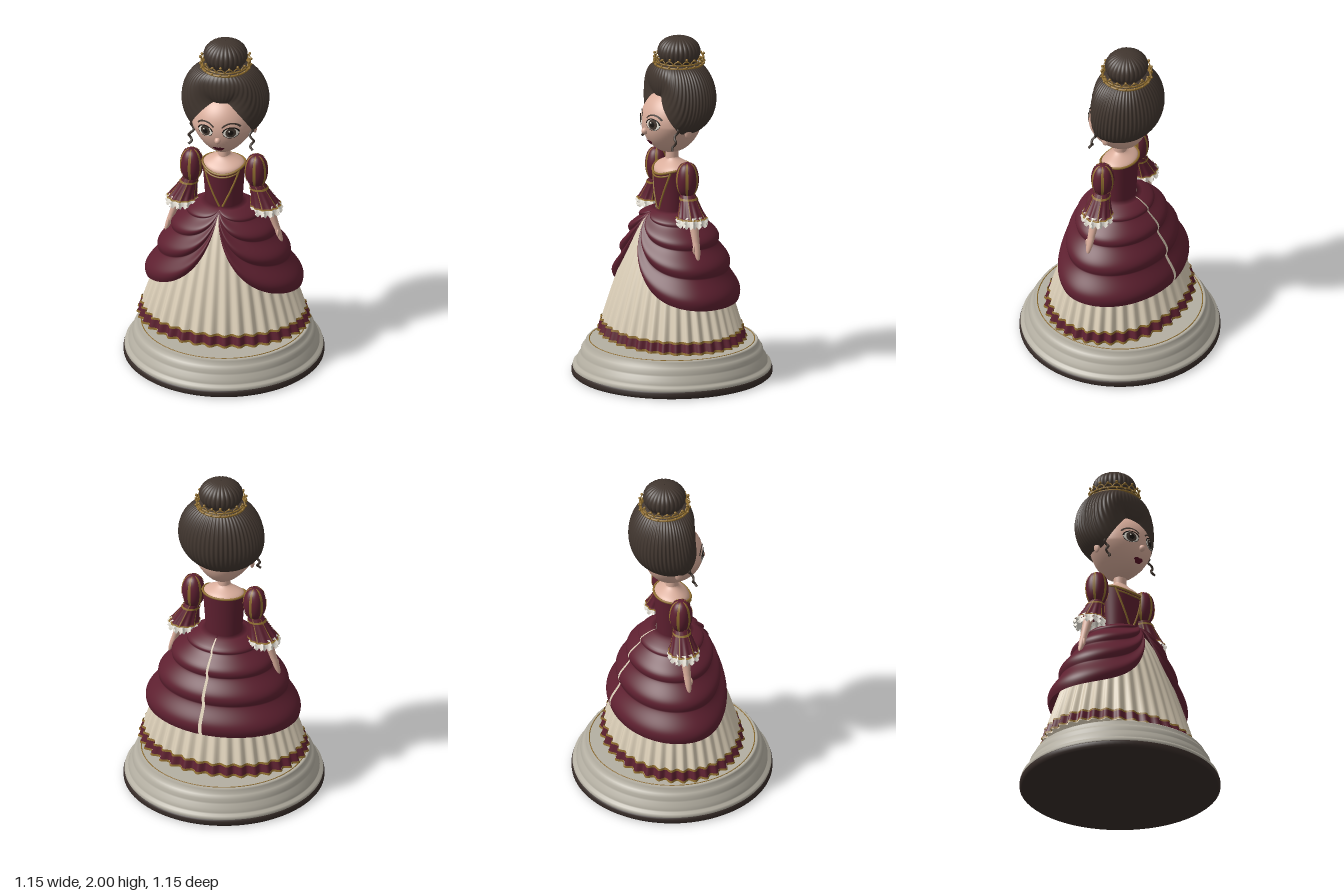
import * as THREE from 'three';
import { ParametricGeometry } from 'three/addons/geometries/ParametricGeometry.js';

const { sin, cos, PI, max, min, abs, sqrt, pow } = Math;
const lerp = THREE.MathUtils.lerp, smooth = THREE.MathUtils.smoothstep;

const paint = (name, color) => {
  const m = new THREE.MeshStandardMaterial({ color, side: THREE.DoubleSide });
  m.name = name;
  return m;
};

export function createModel() {
  const root = new THREE.Group();
  root.name = 'gownedFigurine';
  const wine = paint('wine red', 0x5e2030), cream = paint('cream', 0xdccfb8), stone = paint('stone', 0xb4afa2),
    gold = paint('gold', 0x8f6d2e), skin = paint('skin', 0xd9ad9b), lace = paint('lace white', 0xe6e1d6),
    hair = paint('hair brown', 0x41362f), wood = paint('dark wood', 0x382d29), lip = paint('lip red', 0x5a1226),
    black = paint('black', 0x17120f);

  const add = (name, geo, mat, x = 0, y = 0, z = 0) => {
    const m = new THREE.Mesh(geo, mat);
    m.name = name;
    m.position.set(x, y, z);
    root.add(m);
    return m;
  };
  // Surface swept round the y axis: fn(angle from front, height 0..1) gives a point
  const sweep = (name, mat, fn, nu, nv, a0 = -PI, a1 = PI, v0 = 0, v1 = 1) =>
    add(name, new ParametricGeometry((u, v, p) => p.set(...fn(lerp(a0, a1, u), lerp(v0, v1, v))), nu, nv), mat);
  const tube = (name, mat, pts, r, closed = false, n = 48) =>
    add(name, new THREE.TubeGeometry(new THREE.CatmullRomCurve3(pts.map(p => new THREE.Vector3(...p)), closed), n, r, 8, closed), mat);
  const ball = (name, mat, x, y, z, rx, ry = rx, rz = rx) => {
    const m = add(name, new THREE.SphereGeometry(1, 20, 14), mat, x, y, z);
    m.scale.set(rx, ry, rz);
    return m;
  };
  const turned = (name, mat, pts) =>
    add(name, new THREE.LatheGeometry(pts.map(p => new THREE.Vector2(...p)), 96), mat);

  // Stepped plinth
  turned('plinthFoot', wood, [[0.001, 0], [0.565, 0], [0.577, 0.01], [0.577, 0.034], [0.57, 0.042]]);
  turned('plinth', stone, [[0.57, 0.042], [0.572, 0.05], [0.568, 0.064], [0.55, 0.068], [0.55, 0.078], [0.542, 0.1], [0.528, 0.122],
    [0.524, 0.13], [0.522, 0.15], [0.51, 0.168], [0.497, 0.174], [0.495, 0.196], [0.488, 0.204], [0.001, 0.204]]);
  add('plinthRing', new THREE.TorusGeometry(0.475, 0.003, 6, 96).rotateX(PI / 2), gold, 0, 0.204, 0);
  for (const s of [-1, 1]) ball('shoe', wood, s * 0.07, 0.235, 0.04, 0.045, 0.03, 0.09);

  // Pleated underskirt with banded hem
  const skirt = (off, y0, y1) => (a, v) => {
    const y = lerp(y0, y1, v), f = max(0, (0.98 - y) / 0.745);
    const wave = (0.003 + 0.011 * f * f) * cos(36 * a) + off;
    return [(0.1 + 0.385 * pow(f, 0.55) + wave) * sin(a), y, (0.09 + 0.3 * pow(f, 0.65) + wave) * cos(a)];
  };
  sweep('underskirt', cream, skirt(0, 0.235, 0.975), 288, 24);
  sweep('hemBand', wine, skirt(0.004, 0.245, 0.3), 288, 2);
  sweep('hemTrimLow', gold, skirt(0.008, 0.235, 0.248), 288, 1);
  sweep('hemTrimHigh', gold, skirt(0.008, 0.295, 0.308), 288, 1);

  // Draped overskirt: two halves, tiers gathered to the front of the waist
  const drape = (a, v) => {
    const t = 1 - v, q = abs(a), yb = 0.475 + 0.5 * Math.exp(-q / 0.34);
    const y = 0.99 - t * (0.99 - yb), f = max(1e-4, (0.99 - y) / 0.51);
    const b = 4 * pow(max(0, t), 0.7) % 1;
    const puff = (0.026 * sin(PI * pow(b, 1.5)) - 0.006) * smooth(0.99 - yb, 0.03, 0.4) * min(1, t * 8);
    const rz = cos(a) > 0 ? 0.09 + 0.23 * pow(f, 0.4) : 0.09 + 0.275 * sqrt(f);
    return [(0.1 + 0.36 * pow(f, 0.55) + puff) * sin(a), y, (rz + puff) * cos(a)];
  };
  sweep('overskirtLeft', wine, drape, 90, 64, 0.001, PI - 0.024);
  sweep('overskirtRight', wine, drape, 90, 64, -PI + 0.024, -0.001);

  // Bodice, neckline and shoulders
  const neckline = a => cos(a) > 0 ? 1.242 - 0.036 * cos(a) ** 2 : 1.242;
  const bodice = off => (a, v) => {
    const rz = 0.085 + (cos(a) > 0 ? 0.022 : 0.018) * v;
    return [(0.104 + 0.021 * v + off) * sin(a), lerp(0.95, neckline(a), v), (rz + off) * cos(a)];
  };
  sweep('bodice', wine, bodice(0), 64, 16);
  tube('necklineTrim', gold, Array.from({ length: 24 }, (_, i) => bodice(0)(i * PI / 12, 0.99)), 0.007, true, 96);
  for (const s of [-1, 1])
    tube('bodiceTrim', gold, [0, 1, 2, 3, 4].map(i => bodice(0.001)(s * lerp(0.95, 0.08, i / 4), lerp(0.97, 0.14, i / 4))), 0.006);
  tube('bodiceEdge', gold, [-2, -1, 0, 1, 2].map(i => bodice(0.001)(i * 0.45, 0.92)), 0.005);
  sweep('shoulders', skin, (a, v) => {
    const k = 1 - smooth(v, 0.2, 0.95);
    return [(0.036 + 0.084 * k) * sin(a), lerp(neckline(a) - 0.02, 1.3, v), (0.034 + 0.066 * k) * cos(a)];
  }, 48, 14);
  add('neck', new THREE.CylinderGeometry(0.036, 0.037, 0.12, 32), skin, 0, 1.32, 0);

  // Arms: puffed sleeve, flared cuff, lace frills, forearm and hand
  for (const s of [-1, 1]) {
    const puff = off => (a, v) => {
      const r = sin(PI * v) ** 0.75 * (1 + 0.05 * abs(sin(3 * a))) + off;
      return [s * 0.19 + 0.064 * r * sin(a), 1.2 - 0.1 * cos(PI * v), 0.064 * r * cos(a)];
    };
    sweep('puffSleeve', wine, puff(0), 72, 20, -PI, PI, 0.002, 0.998);
    const cuff = off => (a, v) => {
      const r = lerp(0.086, 0.043, pow(v, 0.8)) + off + 0.004 * (1 - v) * cos(12 * a);
      return [s * lerp(0.245, 0.195, v) + r * sin(a), lerp(0.985, 1.115, v), r * cos(a)];
    };
    sweep('sleeveCuff', wine, cuff(0), 72, 8);
    sweep('cuffBand', gold, cuff(0.004), 72, 1, -PI, PI, 0.78, 0.87);
    sweep('cuffHem', gold, cuff(0.003), 72, 1, -PI, PI, 0, 0.06);
    for (let k = 0; k < 6; k++) {
      const a = k * PI / 3;
      sweep('puffStripe', gold, puff(0.05), 2, 20, a - 0.13, a + 0.13, 0.04, 0.96);
      sweep('cuffStripe', gold, cuff(0.003), 2, 6, a - 0.04, a + 0.04);
    }
    for (const [y, r] of [[0.968, 0.088], [0.943, 0.084]])
      sweep('laceFrill', lace, (a, v) => {
        const q = lerp(r, 0.068, v) + 0.009 * (1 - v) * cos(11 * a);
        return [s * 0.25 + q * sin(a), y + 0.034 * v + 0.007 * (1 - v) * cos(22 * a), q * cos(a)];
      }, 132, 5);
    sweep('forearmAndHand', skin, (a, v) => {
      const t = 1 - v, r = t < 0.62 ? lerp(0.034, 0.021, t / 0.62) : 0.021 * sqrt(max(0, 1 - ((t - 0.62) / 0.38) ** 2)) + 0.0005;
      return [s * lerp(0.25, 0.342, t) + r * 0.9 * sin(a), lerp(1.02, 0.75, t), 0.008 * t + r * cos(a)];
    }, 24, 24);
    ball('thumb', skin, s * 0.322, 0.815, 0.025, 0.008, 0.024, 0.009);
  }

  // Head: an ellipsoid tapering to the chin
  const taper = y => 1 - 0.3 * THREE.MathUtils.clamp((1.5 - y) / 0.18, 0, 1);
  const head = (a, y) => {
    const r = sqrt(max(0, 1 - ((y - 1.51) / 0.19) ** 2));
    return [0.186 * taper(y) * r * sin(a), y, (cos(a) > 0 ? 0.178 : 0.165) * r * cos(a)];
  };
  sweep('head', skin, (a, v) => head(a, 1.51 - 0.19 * cos(PI * v)), 64, 40, -PI, PI, 0.003, 0.997);
  const faceZ = (x, y) => 0.178 * sqrt(max(0, 1 - (x / (0.186 * taper(y))) ** 2 - ((y - 1.51) / 0.19) ** 2));
  // Thin painted patch laid over the face
  const patch = (name, mat, geo, cx, cy, off) => {
    const p = geo.attributes.position;
    for (let i = 0; i < p.count; i++) {
      const x = cx + p.getX(i), y = cy + p.getY(i);
      p.setXYZ(i, x, y, faceZ(x, y) + off);
    }
    geo.computeVertexNormals();
    add(name, geo, mat);
  };
  const oval = (rx, ry) => new THREE.RingGeometry(0.01, 1, 28, 4).scale(rx, ry, 1);
  const arc = (r0, r1, a0, a1, sy) => new THREE.RingGeometry(r0, r1, 20, 2, a0, a1 - a0).scale(1, sy, 1);
  for (const s of [-1, 1]) {
    const x = s * 0.075;
    patch('eyeWhite', lace, oval(0.044, 0.032), x, 1.518, 0.002);
    patch('iris', hair, oval(0.029, 0.03), x, 1.519, 0.004);
    patch('pupil', black, oval(0.015, 0.016), x, 1.519, 0.006);
    patch('eyeGlint', lace, oval(0.005, 0.005), x - 0.008, 1.53, 0.008);
    patch('upperLash', black, arc(0.041, 0.049, 0.1, PI - 0.1, 0.75), x, 1.518, 0.007);
    patch('lowerLash', black, arc(0.043, 0.046, PI + 0.2, 2 * PI - 0.2, 0.74), x, 1.518, 0.005);
    patch('eyebrow', hair, arc(0.054, 0.064, 0.55, PI - 0.55, 0.88), x, 1.522, 0.004);
    patch('upperLip', lip, oval(0.02, 0.009), s * 0.014, 1.402, 0.006);
    ball('ear', skin, s * 0.18, 1.475, -0.01, 0.012, 0.035, 0.022);
    tube('looseCurl', hair, Array.from({ length: 9 }, (_, i) => [s * (0.17 + 0.012 * sin(i * 1.6) + 0.002 * i), 1.51 - 0.016 * i,
      0.05 + 0.005 * i + 0.006 * cos(i * 1.6)]), 0.007);
  }
  patch('lowerLip', lip, oval(0.024, 0.011), 0, 1.392, 0.006);
  ball('nose', skin, 0, 1.465, 0.175, 0.018, 0.02, 0.022);

  // Swept-up hair: each strand line bulges from hairline to topknot
  sweep('sweptHair', hair, (a, v) => {
    const yb = lerp(1.67, 1.465, smooth(abs(a), 0.38, 1.5)), c = cos(a), front = c > 0;
    const low = head(a, yb), t = 1 - v;
    const w = [v ** 3, 3 * v * v * t, 3 * v * t * t, t ** 3];
    const xs = [0.1 * sin(a), 0.24 * sin(a), 0.32 * sin(a), low[0] * 1.015];
    const ys = [1.85, 1.845, yb + lerp(0.12, 0.085, max(0, c)), yb];
    const zs = [-0.04 + 0.1 * c, -0.04 + (front ? 0.16 : 0.18) * c, front ? -0.06 + 0.2 * c : -0.06 + 0.26 * c, low[2] * 1.015 + 0.004 * c];
    const dot = p => w.reduce((sum, k, i) => sum + k * p[i], 0);
    const ridge = 1 + lerp(0.016, 0.006, max(0, c)) * cos(56 * a) * sin(PI * min(1, max(0, v)) * 0.9);
    return [dot(xs) * ridge, dot(ys), -0.04 + (dot(zs) + 0.04) * ridge];
  }, 448, 28);
  sweep('topknot', hair, (a, v) => {
    const r = 0.122 * sin(PI * v) ** 0.85 * (0.965 + 0.05 * abs(cos(13 * a)));
    return [r * sin(a) * 1.03, 1.915 - 0.086 * cos(PI * v), -0.045 + r * cos(a)];
  }, 208, 24, -PI, PI, 0.003, 0.997);

  // Tiara
  for (const [y, r] of [[1.842, 0.007], [1.862, 0.005]])
    add('tiaraBand', new THREE.TorusGeometry(0.138, r, 8, 72).rotateX(PI / 2), gold, 0, y, -0.045);
  for (let i = 0; i < 18; i++) {
    const a = i * PI / 9, x = 0.142 * sin(a), z = -0.045 + 0.142 * cos(a);
    add('tiaraArch', new THREE.TorusGeometry(0.023, 0.0035, 6, 12, PI).rotateY(a), gold, x, 1.862, z);
    ball('tiaraBead', gold, x * 1.03, i % 2 ? 1.888 : 1.896, z, 0.008);
    ball('tiaraStud', gold, 0.147 * sin(a), 1.852, -0.045 + 0.147 * cos(a), 0.007);
  }
  return root;
}
